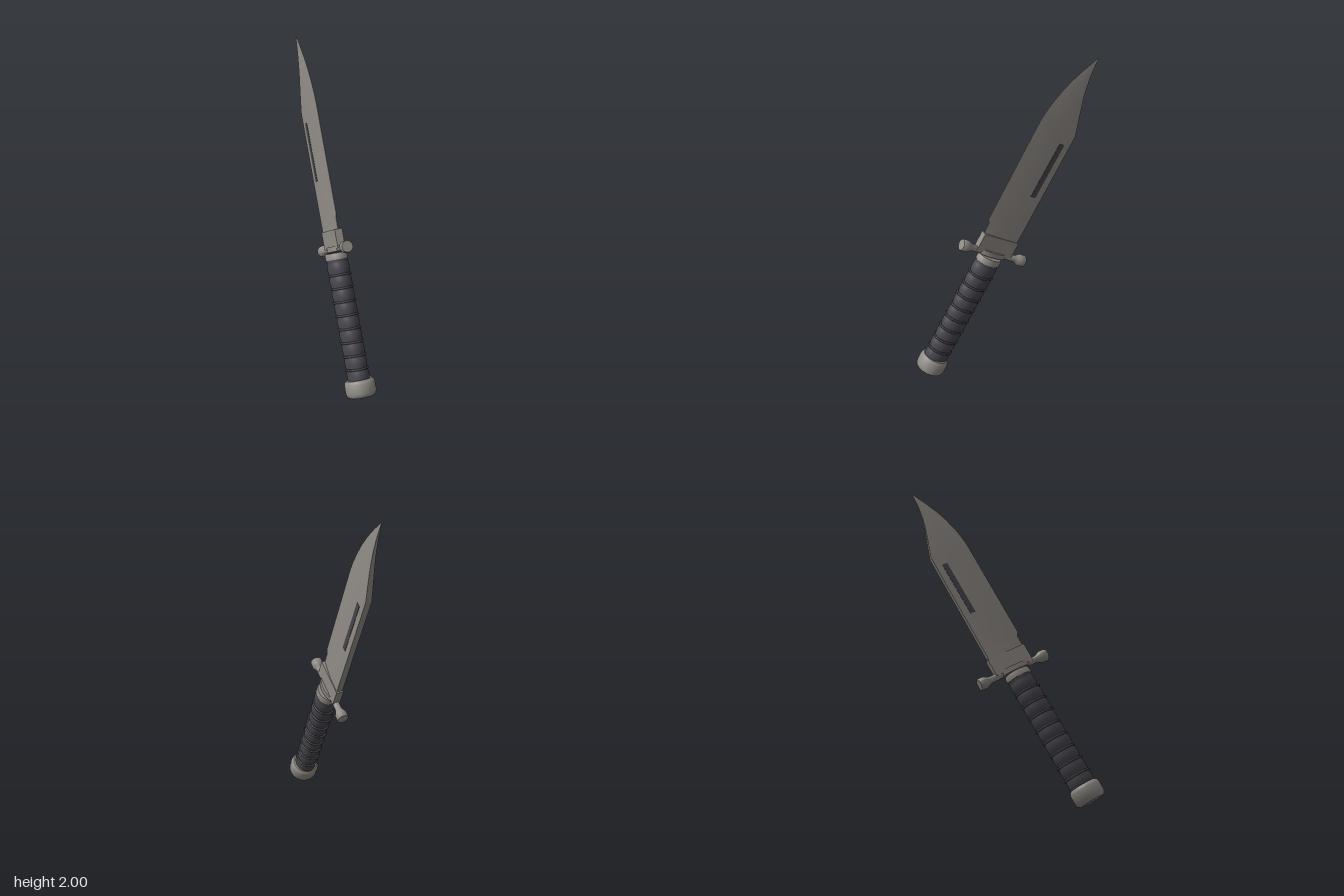
import * as THREE from 'three';
import { toCreasedNormals } from 'three/addons/utils/BufferGeometryUtils.js';

const steel = new THREE.MeshStandardMaterial({ color: 0x8f8a85 });
steel.name = 'steel';
const grip = new THREE.MeshStandardMaterial({ color: 0x46454c });
grip.name = 'darkGrip';

const AXIS = 0.483; // z of the handle axis before the knife is tilted

function part(parent, name, geometry, material, x = 0, y = 0, z = 0) {
  const mesh = new THREE.Mesh(geometry, material);
  mesh.name = name;
  mesh.position.set(x, y, z);
  parent.add(mesh);
  return mesh;
}

// Turned shape from [radius, height] pairs listed bottom to top
function turned(profile, sx = 1, sz = 1, crease = 0.6) {
  const g = new THREE.LatheGeometry(profile.map(([r, y]) => new THREE.Vector2(r, y)), 36);
  g.scale(sx, 1, sz);
  return toCreasedNormals(g, crease);
}

// Blade lofted through six-sided sections: flat back, full middle, thin edge
function bladeGeometry() {
  // height, back z, edge z, half thickness
  const stations = [
    [0.72, 0.362, 0.606, 0.019], [0.865, 0.363, 0.612, 0.019], [0.885, 0.363, 0.628, 0.019],
    [1.555, 0.369, 0.635, 0.019], [1.61, 0.388, 0.631, 0.018], [1.69, 0.416, 0.618, 0.016],
    [1.77, 0.443, 0.598, 0.013], [1.845, 0.462, 0.573, 0.01], [1.93, 0.476, 0.535, 0.006],
    [2.03, 0.482, 0.484, 0.0008],
  ];
  const pos = [], idx = [];
  for (const [y, back, edge, t] of stations) {
    const mid = back + (edge - back) * 0.4, e = t * 0.12;
    for (const [x, z] of [[-t, back], [t, back], [t, mid], [e, edge], [-e, edge], [-t, mid]]) pos.push(x, y, z);
  }
  for (let s = 0; s < stations.length - 1; s++) {
    for (let i = 0; i < 6; i++) {
      const a = s * 6 + i, b = s * 6 + (i + 1) % 6;
      idx.push(a, b + 6, b, a, a + 6, b + 6);
    }
  }
  const top = (stations.length - 1) * 6;
  for (let i = 1; i < 5; i++) idx.push(0, i, i + 1, top, top + i + 1, top + i);
  const g = new THREE.BufferGeometry();
  g.setAttribute('position', new THREE.Float32BufferAttribute(pos, 3));
  g.setIndex(idx);
  return toCreasedNormals(g, 0.25);
}

export function createModel() {
  const model = new THREE.Group();
  model.name = 'knife';
  const knife = new THREE.Group();
  knife.name = 'tiltedKnife';
  knife.rotation.x = -Math.PI / 6;
  model.add(knife);

  // Blade with a dark groove on each side
  part(knife, 'blade', bladeGeometry(), steel);
  for (const side of [-1, 1]) {
    part(knife, 'bladeGroove', new THREE.BoxGeometry(0.004, 0.37, 0.034), grip, side * 0.019, 1.297, 0.428);
  }

  // Collar at the root of the blade
  part(knife, 'bladeCollar', new THREE.BoxGeometry(0.048, 0.115, 0.258), steel, 0, 0.738, 0.482);

  // Cross guard with flared ends and an oval centre plate
  const guard = turned([
    [0, -0.24], [0.034, -0.24], [0.037, -0.234], [0.037, -0.2], [0.03, -0.185], [0.021, -0.165], [0.021, -0.08],
    [0.021, 0.08], [0.021, 0.165], [0.03, 0.185], [0.037, 0.2], [0.037, 0.234], [0.034, 0.24], [0, 0.24],
  ]);
  guard.rotateX(Math.PI / 2);
  part(knife, 'crossGuard', guard, steel, 0, 0.68, 0.475);
  part(knife, 'guardPlate', turned([[0, -0.016], [0.1, -0.016], [0.1, 0.016], [0, 0.016]], 0.42, 1), steel, 0, 0.68, AXIS);
  part(knife, 'gripCap', turned([[0, 0.615], [0.082, 0.615], [0.082, 0.645], [0.076, 0.655], [0, 0.655]], 0.82, 1), steel, 0, 0, AXIS);

  // Oval grip with slightly bulging segments
  const first = -0.06, step = 0.083, segments = 10;
  const profile = [];
  for (let i = 0; i < segments; i++) {
    const y = first - step + i * step;
    for (let k = 0; k < 5; k++) {
      profile.push([0.076 + 0.006 * Math.sin(Math.PI * k / 5), Math.min(y + step * k / 5, 0.62)]);
    }
  }
  part(knife, 'grip', turned(profile, 0.82, 1), grip, 0, 0, AXIS);

  // Raised rings between the segments
  for (let i = 0; i < 8; i++) {
    const ring = new THREE.TorusGeometry(0.081, 0.007, 6, 36);
    ring.rotateX(Math.PI / 2);
    ring.scale(0.82, 1, 1);
    part(knife, 'gripRing', ring, grip, 0, first + i * step, AXIS);
  }

  // Pommel
  part(knife, 'pommel', turned([
    [0, -0.232], [0.074, -0.232], [0.088, -0.222], [0.095, -0.203], [0.095, -0.15], [0.09, -0.135], [0.08, -0.126], [0, -0.122],
  ]), steel, 0, 0, AXIS);

  return model;
}
